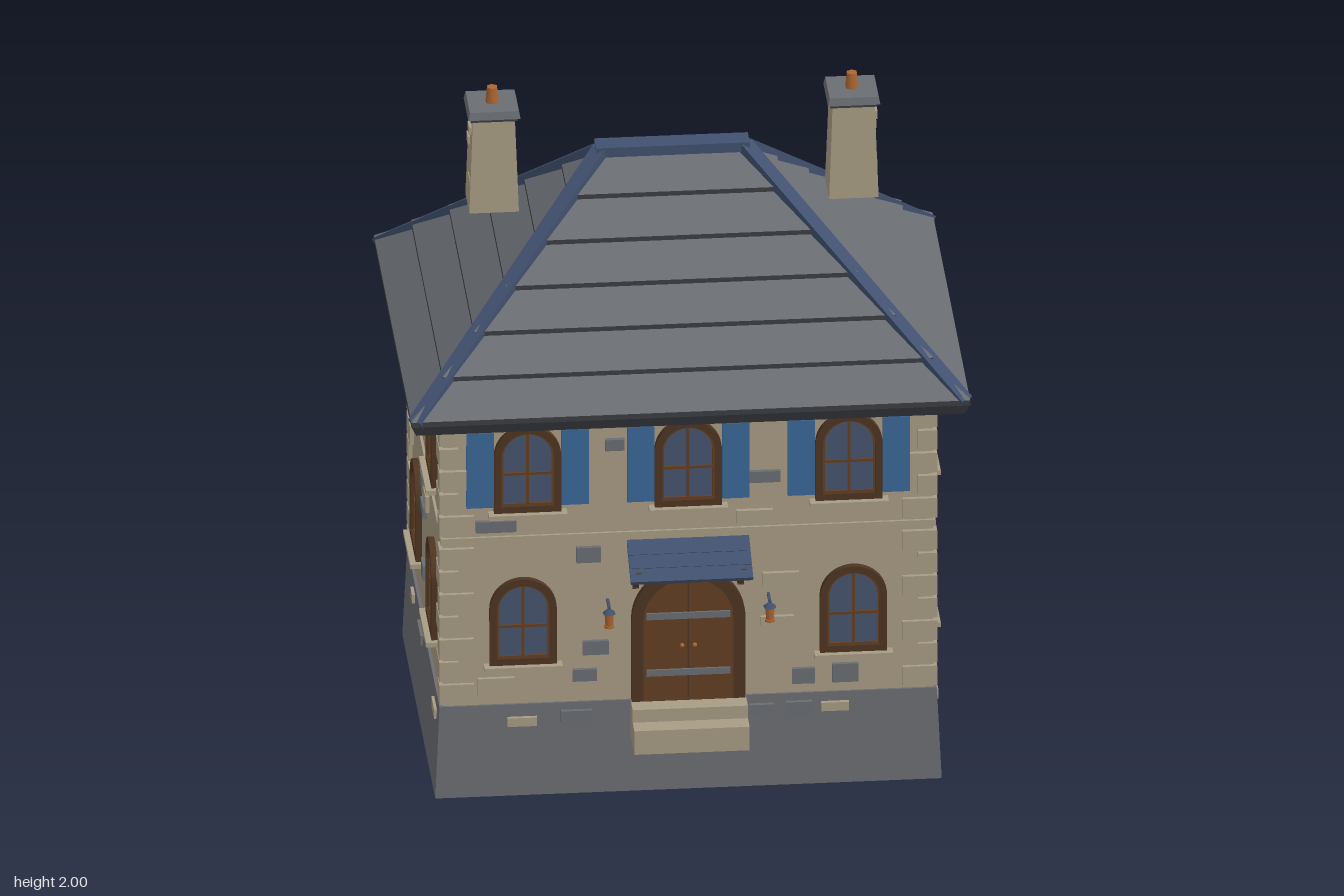
import * as THREE from 'three';

const mat = (name, color, side = THREE.FrontSide) => {
  const m = new THREE.MeshStandardMaterial({ color, side });
  m.name = name;
  return m;
};

export function createModel() {
  const stone = mat('sandstone', 0xa89c84);
  const slate = mat('slate', 0x6a6d72, THREE.DoubleSide);
  const dark = mat('dark slate', 0x3b3d42);
  const ridge = mat('blue slate', 0x41506e);
  const blue = mat('shutter blue', 0x3b6897);
  const glass = mat('glass', 0x48546f);
  const wood = mat('door wood', 0x633f22);
  const frame = mat('frame wood', 0x4e3521);
  const copper = mat('copper', 0xac6631);

  const model = new THREE.Group();
  const house = new THREE.Group();
  house.name = 'house';
  house.position.z = -0.02;
  model.add(house);

  const add = (parent, name, geo, material, x = 0, y = 0, z = 0) => {
    const m = new THREE.Mesh(geo, material);
    m.name = name;
    m.position.set(x, y, z);
    parent.add(m);
    return m;
  };
  const box = (parent, name, material, w, h, d, x, y, z) =>
    add(parent, name, new THREE.BoxGeometry(w, h, d), material, x, y, z);
  // Box stretched between two points
  const beam = (parent, name, material, a, b, w, h) => {
    const p = new THREE.Vector3(...a), q = new THREE.Vector3(...b);
    const m = new THREE.Mesh(new THREE.BoxGeometry(w, h, p.distanceTo(q)), material);
    m.name = name;
    m.position.copy(p).lerp(q, 0.5);
    m.lookAt(q);
    parent.add(m);
  };
  // Flat-sided skin through rectangular rings [halfX, halfZ, y]
  const loft = (...rings) => {
    const pos = [];
    const corner = ([x, z, y], j) => [[-x, y, z], [x, y, z], [x, y, -z], [-x, y, -z]][j % 4];
    for (let i = 0; i + 1 < rings.length; i++) for (let j = 0; j < 4; j++) {
      const a = corner(rings[i], j), b = corner(rings[i], j + 1);
      const c = corner(rings[i + 1], j + 1), d = corner(rings[i + 1], j);
      pos.push(...a, ...b, ...c, ...a, ...c, ...d);
    }
    const g = new THREE.BufferGeometry();
    g.setAttribute('position', new THREE.Float32BufferAttribute(pos, 3));
    g.computeVertexNormals();
    return g;
  };
  // Round-headed outline standing on y = base
  const arch = (r, h, base = 0, Type = THREE.Shape) => {
    const s = new Type();
    s.moveTo(-r, base);
    s.lineTo(r, base);
    s.lineTo(r, h - r);
    s.absarc(0, h - r, r, 0, Math.PI, false);
    s.lineTo(-r, base);
    return s;
  };
  const archFrame = (r, h, t, base, depth) => {
    const s = arch(r, h);
    s.holes.push(arch(r - t, h - t, base, THREE.Path));
    return new THREE.ExtrudeGeometry(s, { depth, bevelEnabled: false, curveSegments: 12 });
  };

  // Plinth (open below), walls and string course
  add(house, 'plinth', loft([0.725, 0.525, 0], [0.712, 0.514, 0.285], [0.69, 0.49, 0.285]), slate);
  add(house, 'walls', loft([0, 0, 0.28], [0.703, 0.508, 0.28], [0.7, 0.505, 1.2]), stone);
  box(house, 'stringCourse', stone, 1.418, 0.02, 1.028, 0, 0.81, 0);

  // Corner stones, alternately long and short
  for (const sx of [-1, 1]) for (const sz of [-1, 1]) {
    for (const [y0, n] of [[0.29, 7], [0.825, 5]]) for (let i = 0; i < n; i++) {
      const w = i % 2 ? 0.055 : 0.1, d = i % 2 ? 0.1 : 0.055;
      box(house, 'cornerStone', stone, w, 0.062, d,
        sx * (0.713 - w / 2), y0 + 0.035 + i * 0.072, sz * (0.518 - d / 2));
    }
  }

  // Hipped roof with stepped courses
  const P = (t, lift = 0) => [0.8 - 0.59 * t, 0.6 - 0.58 * t, 1.225 + 0.555 * t + lift];
  add(house, 'eaves', loft([0, 0, 1.19], [0.785, 0.585, 1.19], P(0)), dark);
  for (let i = 0; i < 6; i++) {
    add(house, 'roofCourse', loft(P(i / 6, 0.014), P((i + 1) / 6)), slate);
    add(house, 'courseEdge', loft(P(i / 6, -0.002), P(i / 6, 0.014)), dark);
  }
  for (const sx of [-1, 1]) for (const sz of [-1, 1])
    beam(house, 'hipCap', ridge, [sx * 0.785, 1.225, sz * 0.585], [sx * 0.205, 1.785, sz * 0.01], 0.045, 0.035);
  box(house, 'ridgeCap', ridge, 0.44, 0.03, 0.065, 0, 1.79, 0);

  // Chimneys
  for (const s of [-1, 1]) {
    const c = new THREE.Group();
    c.name = 'chimney';
    c.position.x = s * 0.515;
    house.add(c);
    add(c, 'stack', loft([0, 0, 1.63], [0.071, 0.065, 1.63], [0.06, 0.056, 1.93]), stone);
    box(c, 'capBase', dark, 0.135, 0.012, 0.135, 0, 1.926, 0);
    add(c, 'cap', loft([0, 0, 1.93], [0.075, 0.075, 1.93], [0.07, 0.07, 1.953], [0, 0, 1.953]), slate);
    add(c, 'pot', new THREE.CylinderGeometry(0.016, 0.021, 0.05, 6), copper, 0, 1.975, 0);
    for (const [y, z] of [[1.88, 0.02], [1.83, -0.02], [1.72, 0.02]])
      box(c, 'chimneyStone', stone, 0.012, 0.025, 0.04, s * 0.064, y, z);
  }

  // One group per wall: local x along the wall, z outward
  const wall = (name, angle, dist) => {
    const g = new THREE.Group();
    g.name = name;
    g.rotation.y = angle;
    g.position.set(Math.sin(angle) * dist, 0, Math.cos(angle) * dist);
    house.add(g);
    return g;
  };
  const front = wall('frontWall', 0, 0.507);
  const back = wall('backWall', Math.PI, 0.507);
  const leftSide = wall('leftWall', Math.PI / 2, 0.702);
  const rightSide = wall('rightWall', -Math.PI / 2, 0.702);

  // Windows
  const frameGeo = archFrame(0.096, 0.272, 0.021, 0.02, 0.02);
  const sashGeo = archFrame(0.077, 0.235, 0.008, 0.008, 0.01);
  const paneGeo = new THREE.ShapeGeometry(arch(0.08, 0.255, 0.01), 12);
  const windowAt = (parent, x, y, shutters) => {
    const g = new THREE.Group();
    g.name = 'window';
    g.position.set(x, y, 0);
    parent.add(g);
    add(g, 'frame', frameGeo, frame, 0, 0, -0.002);
    add(g, 'sash', sashGeo, wood, 0, 0.018, 0);
    add(g, 'pane', paneGeo, glass, 0, 0, 0.004);
    box(g, 'mullion', wood, 0.008, 0.23, 0.008, 0, 0.135, 0.006);
    box(g, 'glazingBar', wood, 0.15, 0.008, 0.008, 0, 0.12, 0.006);
    box(g, 'sill', stone, 0.225, 0.014, 0.04, 0, -0.007, 0.015);
    if (shutters) for (const s of [-1, 1])
      box(g, 'shutter', blue, 0.078, 0.238, 0.014, s * 0.136, 0.138, 0.009);
  };
  for (const x of [-0.46, 0, 0.46]) {
    windowAt(front, x, 0.9, true);
    if (x) windowAt(front, x * 1.028, 0.415);
    for (const y of [0.415, 0.9]) windowAt(back, x, y);
  }
  for (const g of [leftSide, rightSide]) for (const x of [-0.25, 0.25])
    for (const y of [0.415, 0.9]) windowAt(g, x, y);

  // Raised stones: [x, y, width, height]
  const stones = (g, material, list, mirror = 1) => {
    for (const [x, y, w, h] of list)
      box(g, 'wallStone', material, w, h, 0.024, mirror * x, y, y < 0.28 ? 0.008 : 0);
  };
  stones(front, slate, [[-0.55, 0.854, 0.115, 0.035], [-0.21, 1.1, 0.055, 0.035], [-0.265, 1.178, 0.08, 0.03],
    [0.217, 0.98, 0.095, 0.035], [-0.285, 0.753, 0.07, 0.048], [-0.265, 0.456, 0.075, 0.043],
    [-0.296, 0.37, 0.07, 0.037], [0.33, 0.34, 0.065, 0.048], [0.45, 0.345, 0.075, 0.058],
    [0.285, 1.183, 0.075, 0.02], [-0.32, 0.238, 0.09, 0.048], [0.317, 0.238, 0.075, 0.048], [0.21, 0.243, 0.07, 0.03]]);
  stones(front, stone, [[-0.55, 0.345, 0.105, 0.053], [0.255, 0.52, 0.095, 0.027], [0.265, 0.65, 0.105, 0.045],
    [0.19, 0.855, 0.105, 0.04], [-0.476, 0.233, 0.085, 0.027], [0.42, 0.243, 0.08, 0.027]]);
  for (const [g, m] of [[leftSide, 1], [rightSide, -1]]) {
    stones(g, slate, [[0, 1.178, 0.08, 0.02], [-0.075, 1.104, 0.048, 0.043], [0.42, 1.034, 0.065, 0.015],
      [0.063, 0.72, 0.06, 0.048], [0.037, 0.647, 0.08, 0.035], [0.026, 0.456, 0.06, 0.048],
      [0.037, 0.249, 0.105, 0.03]], m);
    stones(g, stone, [[-0.037, 1.04, 0.115, 0.048], [0.05, 0.945, 0.095, 0.012], [-0.05, 0.716, 0.07, 0.05],
      [-0.41, 0.233, 0.085, 0.03], [0.275, 0.249, 0.055, 0.027]], m);
  }
  stones(back, slate, [[-0.23, 1.1, 0.08, 0.04], [0.22, 0.98, 0.08, 0.035], [-0.24, 0.6, 0.07, 0.045],
    [0.24, 0.45, 0.08, 0.04], [0.2, 0.74, 0.07, 0.045], [-0.3, 0.24, 0.08, 0.04], [0.2, 0.24, 0.08, 0.035]]);
  stones(back, stone, [[0.24, 1.1, 0.09, 0.04], [-0.22, 0.93, 0.1, 0.04], [-0.22, 0.74, 0.09, 0.04],
    [0.23, 0.6, 0.1, 0.045], [-0.23, 0.4, 0.1, 0.045], [0.45, 0.345, 0.1, 0.045], [0, 0.24, 0.08, 0.03], [-0.52, 0.24, 0.08, 0.03]]);

  // Arched double door with iron straps and knobs
  add(front, 'doorFrame', archFrame(0.163, 0.42, 0.034, 0.001, 0.025), frame, 0, 0.285, -0.002);
  add(front, 'door', new THREE.ExtrudeGeometry(arch(0.135, 0.392), { depth: 0.012, bevelEnabled: false }), wood, 0, 0.285, -0.002);
  box(front, 'doorGap', frame, 0.005, 0.38, 0.004, 0, 0.475, 0.0095);
  for (const y of [0.37, 0.55]) box(front, 'strap', slate, 0.24, 0.02, 0.008, 0, y, 0.012);
  for (const s of [-1, 1])
    add(front, 'knob', new THREE.SphereGeometry(0.007, 8, 6), copper, s * 0.018, 0.455, 0.014);

  // Front steps
  box(front, 'upperStep', stone, 0.33, 0.04, 0.105, 0, 0.265, 0.0225);
  box(front, 'lowerStep', stone, 0.33, 0.075, 0.16, 0, 0.2075, 0.05);

  // Door canopy on timber brackets
  for (let i = 0; i < 3; i++) {
    const z = i * 0.043, y = 0.788 - i * 0.022;
    beam(front, 'canopyCourse', ridge, [0, y, z - 0.008], [0, y - 0.026, z + 0.047], 0.35, 0.012);
  }
  for (const s of [-1, 1]) {
    box(front, 'bracketPost', frame, 0.018, 0.14, 0.014, s * 0.15, 0.71, 0.004);
    beam(front, 'bracketArm', wood, [s * 0.15, 0.73, 0], [s * 0.15, 0.73, 0.11], 0.016, 0.016);
    beam(front, 'bracketBrace', wood, [s * 0.15, 0.65, 0.005], [s * 0.15, 0.73, 0.1], 0.014, 0.014);
  }

  // Wall lanterns
  for (const s of [-1, 1]) {
    const l = new THREE.Group();
    l.name = 'lantern';
    l.position.set(s * 0.23, 0, 0.05);
    front.add(l);
    box(l, 'arm', ridge, 0.008, 0.008, 0.06, 0, 0.603, -0.025);
    add(l, 'cap', new THREE.CylinderGeometry(0.004, 0.02, 0.014, 6), ridge, 0, 0.592, 0);
    add(l, 'body', new THREE.CylinderGeometry(0.015, 0.012, 0.04, 6), copper, 0, 0.566, 0);
    add(l, 'foot', new THREE.CylinderGeometry(0.016, 0.016, 0.006, 6), copper, 0, 0.544, 0);
  }

  return model;
}
